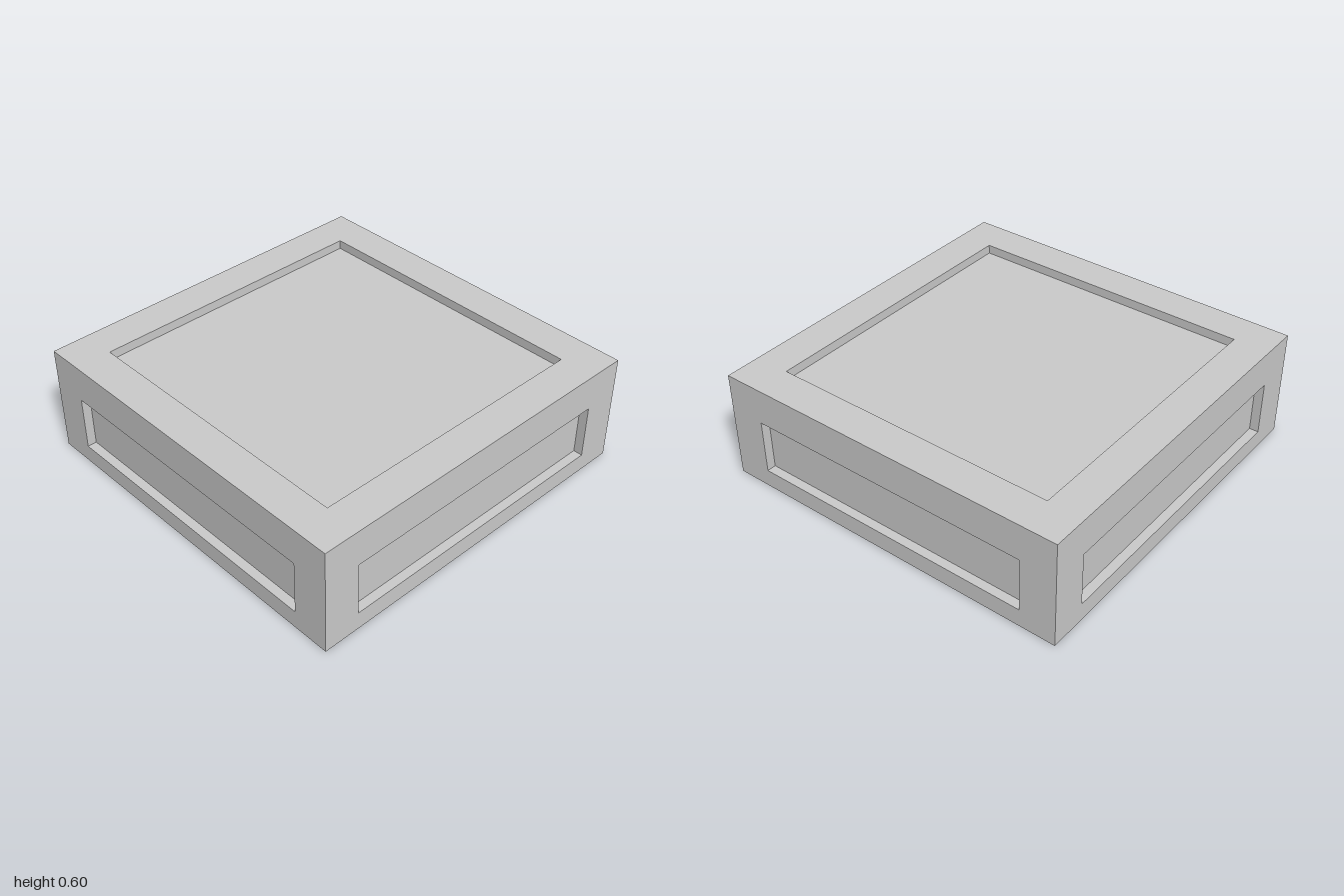
import * as THREE from 'three';

const WALL = 0.05;   // shell thickness, also the depth of each recess
const PLATE = 0.02;  // thin panel behind each opening
const LAP = 0.03;    // how far a panel overlaps its opening

const material = new THREE.MeshStandardMaterial({ color: 0xcccccc, flatShading: true });

function rectangle(path, x, y0, y1) {
  path.moveTo(-x, y0);
  path.lineTo(x, y0);
  path.lineTo(x, y1);
  path.lineTo(-x, y1);
  path.closePath();
  return path;
}

// A framed opening with a panel behind it; the outer face lies on z = 0 facing +z
function framedSide(name, halfWidth, y0, y1, openX, open0, open1) {
  const side = new THREE.Group();
  side.name = name;

  const shape = rectangle(new THREE.Shape(), halfWidth, y0, y1);
  shape.holes.push(rectangle(new THREE.Path(), openX, open0, open1));
  const frame = new THREE.Mesh(
    new THREE.ExtrudeGeometry(shape, { depth: WALL, bevelEnabled: false }), material);
  frame.name = name + 'Frame';
  frame.position.z = -WALL;

  const panel = new THREE.Mesh(
    new THREE.BoxGeometry(2 * (openX + LAP), open1 - open0 + 2 * LAP, PLATE), material);
  panel.name = name + 'Panel';
  panel.position.set(0, (open0 + open1) / 2, -WALL - PLATE / 2);

  side.add(frame, panel);
  return side;
}

export function createModel() {
  const model = new THREE.Group();
  model.name = 'panelledTray';

  // Four walls, open underneath; left and right fit between front and back
  ['frontWall', 'leftWall', 'backWall', 'rightWall'].forEach((name, i) => {
    const halfWidth = i % 2 ? 1 - WALL : 1;
    const wall = framedSide(name, halfWidth, 0, 0.6 - WALL, 0.8, 0.1, 0.4);
    const angle = i * Math.PI / 2;
    wall.rotation.y = angle;
    wall.position.set(Math.sin(angle), 0, Math.cos(angle));
    model.add(wall);
  });

  // Top with a square recess
  const top = framedSide('top', 1, -1, 1, 0.8, -0.8, 0.8);
  top.rotation.x = -Math.PI / 2;
  top.position.y = 0.6;
  model.add(top);

  return model;
}
